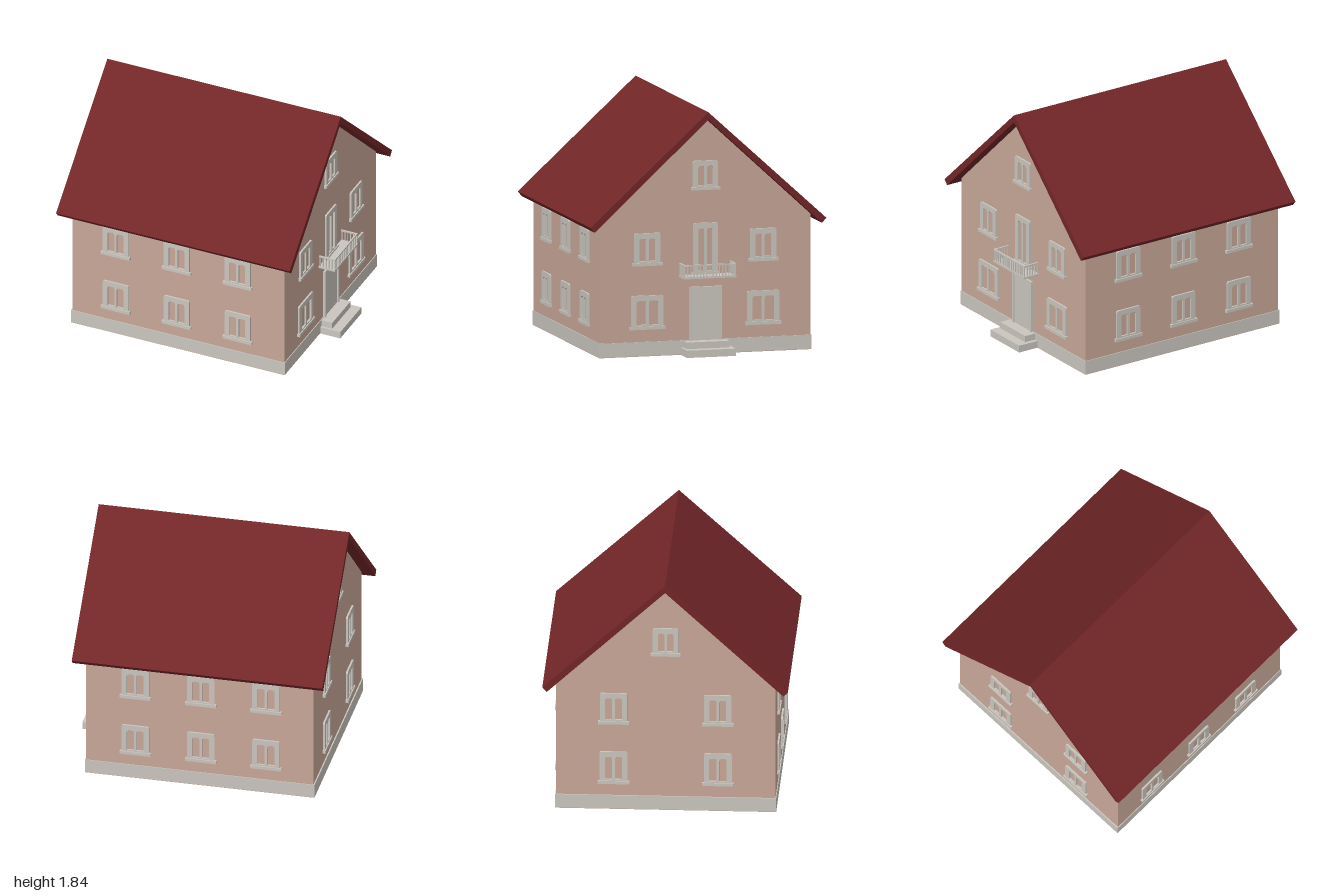
import * as THREE from 'three';

const mat = (name, color) => Object.assign(new THREE.MeshStandardMaterial({ color }), { name });

export function createModel() {
  const house = new THREE.Group();
  house.name = 'house';
  const wallPink = mat('wall pink', 0xc8a798);
  const trimGrey = mat('trim grey', 0xcac5be);
  const roofRed = mat('roof red', 0x722628);

  const add = (parent, name, geometry, material, x = 0, y = 0, z = 0) => {
    const mesh = new THREE.Mesh(geometry, material);
    mesh.name = name;
    mesh.position.set(x, y, z);
    parent.add(mesh);
    return mesh;
  };
  // box given by its minimum and maximum corners
  const box = (parent, name, material, [x0, y0, z0], [x1, y1, z1]) =>
    add(parent, name, new THREE.BoxGeometry(x1 - x0, y1 - y0, z1 - z0), material,
      (x0 + x1) / 2, (y0 + y1) / 2, (z0 + z1) / 2);
  // profile in (z, y) swept along x
  const sweep = (name, material, points, x0, x1) => {
    const shape = new THREE.Shape(points.map(p => new THREE.Vector2(...p)));
    const geo = new THREE.ExtrudeGeometry(shape, { depth: x1 - x0, bevelEnabled: false });
    geo.rotateY(Math.PI / 2);
    return add(house, name, geo, material, x0);
  };

  // body, plinth and roof
  sweep('walls', wallPink, [[-0.82, 0.01], [0.82, 0.01], [0.82, 1.03], [0, 1.785], [-0.82, 1.03]], -0.91, 0.83);
  box(house, 'plinth', trimGrey, [-0.92, 0.004, -0.826], [0.836, 0.11, 0.826]);
  box(house, 'underside', wallPink, [-0.918, 0, -0.824], [0.834, 0.004, 0.824]);
  sweep('roof', roofRed, [[0, 1.835], [-0.918, 1.0], [-0.885, 0.963], [0, 1.778], [0.885, 0.963], [0.918, 1.0]], -1, 0.917);

  // rectangle with rounded upper corners
  const outline = (path, x0, y0, x1, y1, r) => {
    path.moveTo(x0, y0);
    path.lineTo(x1, y0);
    path.lineTo(x1, y1 - r);
    path.quadraticCurveTo(x1, y1, x1 - r, y1);
    path.lineTo(x0 + r, y1);
    path.quadraticCurveTo(x0, y1, x0, y1 - r);
    path.lineTo(x0, y0);
    return path;
  };
  // two-light frame with sill, standing on the origin and facing +z
  const makeWindow = (w, h) => {
    const group = new THREE.Group();
    group.name = 'window';
    const shape = outline(new THREE.Shape(), -w / 2, 0, w / 2, h, 0.015);
    const inner = w / 2 - 0.04;
    for (const [a, b] of [[-inner, -0.01], [0.01, inner]])
      shape.holes.push(outline(new THREE.Path(), a, 0.03, b, h - 0.04, 0.018));
    add(group, 'windowFrame', new THREE.ExtrudeGeometry(shape,
      { depth: 0.014, bevelEnabled: false, curveSegments: 4 }), trimGrey);
    box(group, 'windowSill', trimGrey, [-w / 2 - 0.014, -0.006, 0], [w / 2 + 0.014, 0.018, 0.022]);
    return group;
  };
  const place = (w, h, x, y, z, turn) => {
    const win = makeWindow(w, h);
    win.position.set(x, y, z);
    win.rotation.y = turn;
    house.add(win);
  };

  // long sides: two rows of three
  for (const side of [1, -1])
    for (const x of [-0.55, -0.05, 0.45])
      for (const y of [0.21, 0.69])
        place(0.21, 0.24, x, y, side * 0.82, side > 0 ? 0 : Math.PI);
  // gable ends
  for (const side of [1, -1]) {
    const x = side > 0 ? 0.83 : -0.91;
    const turn = side * Math.PI / 2;
    for (const z of side > 0 ? [0.452, -0.45] : [0.39, -0.39]) {
      place(side > 0 ? 0.25 : 0.21, 0.25, x, 0.21, z, turn);
      place(0.205, 0.24, x, 0.69, z, turn);
    }
    place(0.195, 0.215, x, 1.245, 0, turn);
  }
  place(0.19, 0.39, 0.83, 0.6, 0, Math.PI / 2);

  // entrance door with surround
  box(house, 'door', trimGrey, [0.825, 0.1, -0.11], [0.838, 0.5, 0.11]);
  for (const s of [-1, 1])
    box(house, 'doorJamb', trimGrey, [0.825, 0.1, s * 0.116 - 0.01], [0.848, 0.51, s * 0.116 + 0.01]);
  box(house, 'doorHead', trimGrey, [0.825, 0.492, -0.126], [0.848, 0.51, 0.126]);

  // steps
  box(house, 'lowerStep', trimGrey, [0.82, 0, -0.19], [1, 0.055, 0.19]);
  box(house, 'upperStep', trimGrey, [0.82, 0.055, -0.16], [0.925, 0.105, 0.17]);

  // balcony
  const balcony = new THREE.Group();
  balcony.name = 'balcony';
  house.add(balcony);
  box(balcony, 'balconyFloor', trimGrey, [0.82, 0.588, -0.205], [0.965, 0.604, 0.205]);
  box(balcony, 'frontRail', trimGrey, [0.952, 0.683, -0.203], [0.964, 0.694, 0.203]);
  const baluster = new THREE.BoxGeometry(0.008, 0.085, 0.008);
  const count = 16;
  for (let i = 0; i <= count; i++)
    add(balcony, 'baluster', baluster, trimGrey, 0.958, 0.644, -0.197 + 0.394 * i / count);
  for (const s of [-1, 1]) {
    box(balcony, 'sideRail', trimGrey, [0.83, 0.683, s * 0.197 - 0.006], [0.955, 0.694, s * 0.197 + 0.006]);
    for (let i = 0; i < 5; i++)
      add(balcony, 'baluster', baluster, trimGrey, 0.838 + i * 0.024, 0.644, s * 0.197);
  }
  return house;
}
